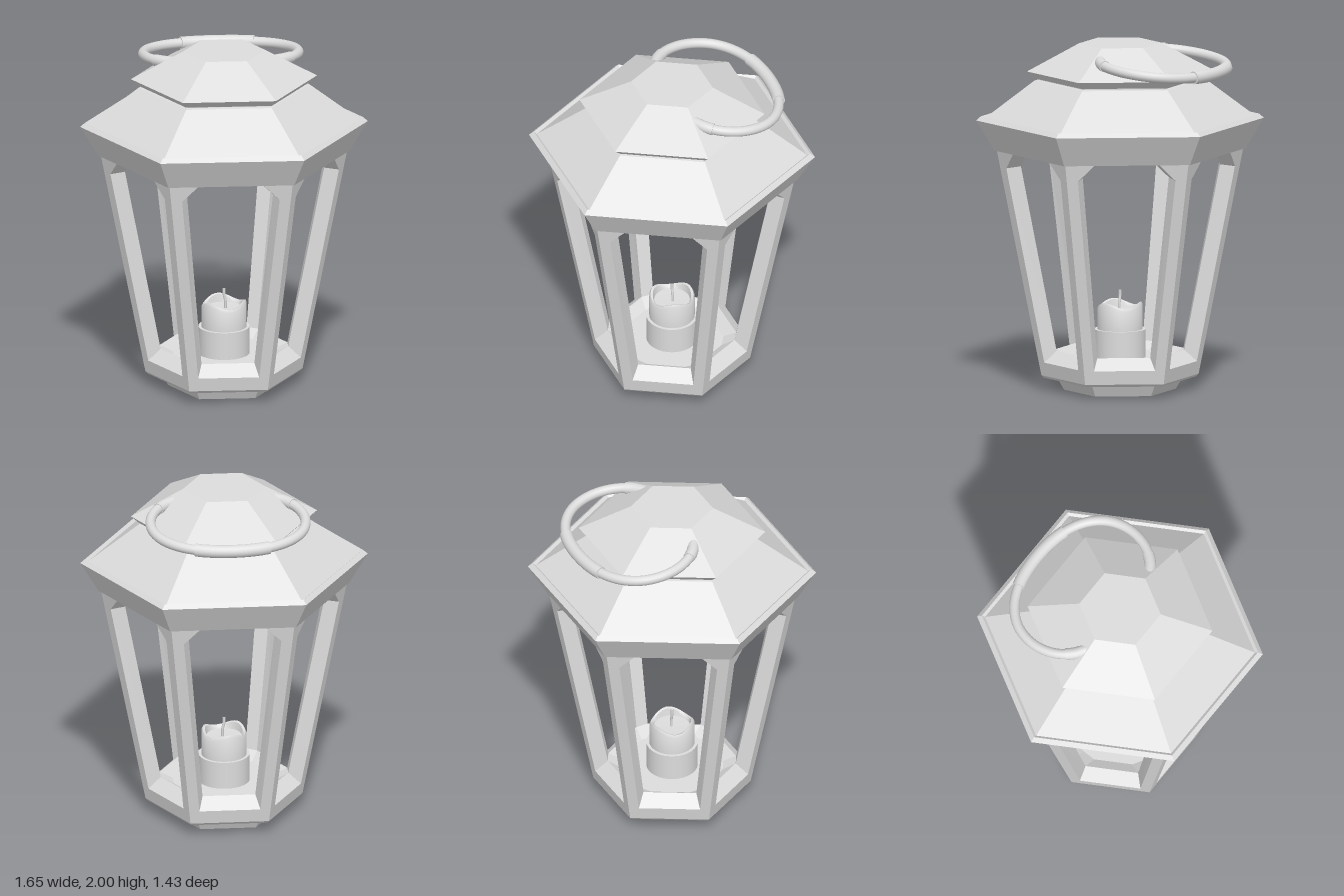
import * as THREE from 'three';
import { toCreasedNormals } from 'three/addons/utils/BufferGeometryUtils.js';

const metal = new THREE.MeshStandardMaterial({ color: 0xdcdcdc });
metal.name = 'plain grey';

function add(parent, name, geometry) {
  const mesh = new THREE.Mesh(geometry, metal);
  mesh.name = name;
  parent.add(mesh);
  return mesh;
}

// Faceted six-sided solid from [radius, y] pairs, corners on the x axis
function hexSolid(profile) {
  const points = profile.map(([r, y]) => new THREE.Vector2(r, y));
  const geometry = new THREE.LatheGeometry(points, 6, Math.PI / 2).toNonIndexed();
  geometry.computeVertexNormals();
  return geometry;
}

// One sixth of the tapered frame: the window facing +z, the post on its right,
// and its share of the floor and ceiling
const radiusAt = (y) => 0.45 + 0.196 * (y - 0.085);
function frameSection() {
  const point = (w, y, inset) => [w, y, radiusAt(y) * Math.sqrt(0.75) - inset];
  const trimmed = (y, trim) => [radiusAt(y) / 2 - trim, y];
  // six-cornered loop: bottom, shoulder and top pairs of [half width, y]
  const loop = ([b, s, t], inset) => [[b, -1], [b, 1], [s, 1], [t, 1], [t, -1], [s, -1]]
    .map(([[w, y], side]) => point(side * w, y, inset));
  // the same point on the neighbouring section
  const next = ([x, y, z]) => {
    const c = 0.5, s = Math.sqrt(0.75);
    return [x * c + z * s, y, z * c - x * s];
  };
  const positions = [];
  const face = (a, ...rest) => {
    for (let i = 0; i + 1 < rest.length; i++) positions.push(...a, ...rest[i], ...rest[i + 1]);
  };

  const outer = loop([trimmed(0.085, 0), trimmed(1.29, 0), trimmed(1.5, 0)], 0);
  const opening = loop([trimmed(0.165, 0.058), trimmed(1.29, 0.064), [0.185, 1.385]], 0);
  const inner = loop([trimmed(0.23, 0.088), trimmed(1.3, 0.098), [0.17, 1.375]], 0.08);

  // outer face and window reveal
  for (const [from, to] of [[outer, opening], [opening, inner]]) {
    for (let i = 0; i < 6; i++) {
      const j = (i + 1) % 6;
      face(from[i], from[j], to[j], to[i]);
    }
  }

  const [bl, br, sr, tr, tl, sl] = inner;
  const [floorL, floorR] = [-0.11, 0.11].map((w) => point(w, 0.19, 0.135));
  const [ceilL, ceilR] = [-0.18, 0.18].map((w) => point(w, 1.5, 0.165));
  const floorMid = [0, 0.19, 0];
  const ceilMid = [0, 1.5, 0];

  // flat inner side of the post
  face(br, sr, next(sl), next(bl));
  // bevels down to the floor
  face(bl, br, floorR, floorL);
  face(floorR, br, next(bl), next(floorL));
  // bevels up to the ceiling
  face(tr, tl, ceilL, ceilR);
  face(sr, tr, ceilR);
  face(tl, sl, ceilL);
  face(sr, ceilR, next(ceilL), next(sl));
  // floor and ceiling
  face(floorMid, floorL, floorR, next(floorL));
  face(ceilMid, next(ceilL), ceilR, ceilL);

  const geometry = new THREE.BufferGeometry();
  geometry.setAttribute('position', new THREE.Float32BufferAttribute(positions, 3));
  geometry.computeVertexNormals();
  return geometry;
}

// Candle body with a melted, wavy rim around a shallow hollow
function candleBody() {
  const profile = [[0.13, 0.34], [0.13, 0.485], [0.122, 0.5], [0.11, 0.495], [0.102, 0.46], [0, 0.455]];
  const geometry = new THREE.LatheGeometry(profile.map(([r, y]) => new THREE.Vector2(r, y)), 32);
  const p = geometry.attributes.position;
  for (let i = 0; i < p.count; i++) {
    if (p.getY(i) < 0.47) continue;
    const angle = Math.atan2(p.getX(i), p.getZ(i));
    p.setY(i, p.getY(i) - 0.006 - 0.016 * Math.cos(3 * (angle - 0.25)));
  }
  return toCreasedNormals(geometry, 0.8);
}

// Carrying ring: a thin tube with a thicker grip and end sleeves
function handle() {
  const group = new THREE.Group();
  group.name = 'handle';
  const half = [[0.285, -0.01], [0.36, -0.065], [0.42, -0.155], [0.444, -0.28], [0.412, -0.41], [0.33, -0.508], [0.2, -0.575]];
  const path = [...half, [0, -0.602], ...half.slice().reverse().map(([x, z]) => [-x, z])];
  const curve = new THREE.CatmullRomCurve3(path.map(([x, z]) => new THREE.Vector3(x, 1.932 + 0.118 * z, z)));
  const section = (name, from, to, radius, steps) => {
    const points = [];
    for (let i = 0; i <= steps; i++) points.push(curve.getPointAt(from + ((to - from) * i) / steps));
    const part = new THREE.CatmullRomCurve3(points);
    add(group, name, new THREE.TubeGeometry(part, steps * 2, radius, 16));
    // closing discs
    for (const t of [0, 1]) {
      const disc = add(group, name + 'End', new THREE.CircleGeometry(radius, 16));
      disc.position.copy(part.getPointAt(t));
      const out = part.getTangentAt(t).multiplyScalar(t ? 1 : -1);
      disc.quaternion.setFromUnitVectors(new THREE.Vector3(0, 0, 1), out);
    }
  };
  section('handleRing', 0, 1, 0.029, 32);
  section('handleGrip', 0.387, 0.613, 0.037, 10);
  section('handleSleeve', 0, 0.07, 0.034, 4);
  section('handleSleeve', 0.93, 1, 0.034, 4);
  return group;
}

export function createModel() {
  const model = new THREE.Group();
  model.name = 'lantern';

  // Foot and underside
  add(model, 'foot', hexSolid([[0, 0], [0.32, 0], [0.36, 0.07], [0.435, 0.07], [0.45, 0.085]]));

  // Six frame sections
  const frame = new THREE.Group();
  frame.name = 'frame';
  const section = frameSection();
  for (let i = 0; i < 6; i++) add(frame, 'frameSection', section).rotation.y = (i * Math.PI) / 3;
  model.add(frame);

  // Roof with flared band and raised rim
  add(model, 'roof', hexSolid([
    [0.69, 1.385], [0.72, 1.385], [0.824, 1.56], [0.796, 1.584],
    [0.778, 1.57], [0.49, 1.787], [0.46, 1.79], [0.46, 1.81],
  ]));
  add(model, 'cap', hexSolid([[0.44, 1.8], [0.49, 1.8], [0.533, 1.84], [0.235, 2], [0, 2]]));

  // Candle in its holder
  const candle = new THREE.Group();
  candle.name = 'candle';
  add(candle, 'candleHolder', new THREE.CylinderGeometry(0.147, 0.147, 0.16, 32)).position.y = 0.27;
  add(candle, 'candleBody', candleBody());
  const wick = new THREE.CatmullRomCurve3([
    new THREE.Vector3(0.008, 0.44, 0), new THREE.Vector3(0.008, 0.5, 0),
    new THREE.Vector3(0, 0.54, 0), new THREE.Vector3(0, 0.576, 0),
  ]);
  add(candle, 'wick', new THREE.TubeGeometry(wick, 10, 0.008, 8));
  model.add(candle);

  model.add(handle());
  return model;
}
